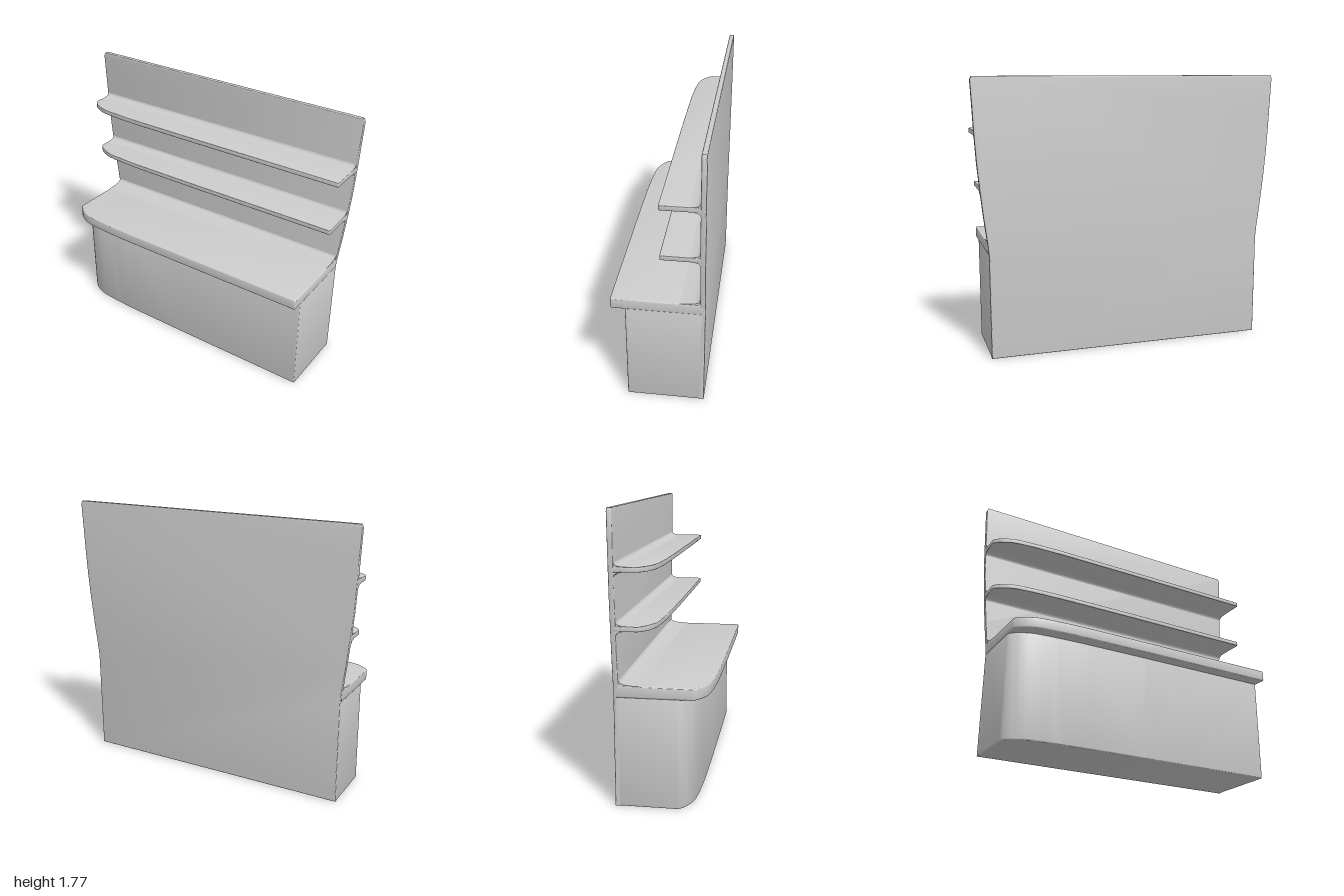
import * as THREE from 'three';
import { toCreasedNormals } from 'three/addons/utils/BufferGeometryUtils.js';

const material = new THREE.MeshStandardMaterial({ color: 0xcccccc });
const BACK = -0.287, WALL = -0.255; // back and front faces of the panel

function part(name, geometry) {
  const mesh = new THREE.Mesh(toCreasedNormals(geometry, 0.6), material);
  mesh.name = name;
  return mesh;
}

// Extrude a shape to exactly `depth`, with softly rounded rims
function rounded(shape, depth, r) {
  const geometry = new THREE.ExtrudeGeometry(shape, {
    depth: depth - 2 * r, bevelThickness: r, bevelSize: r, bevelOffset: -r,
    bevelSegments: 3, curveSegments: 6,
  });
  return geometry.translate(0, 0, r);
}

// Horizontal slab: swept front corner at -x, tight front corner at +x
function slab(name, halfWidth, front, y0, y1, r) {
  const w = halfWidth, back = -0.272, c = 0.012;
  const s = new THREE.Shape();
  s.moveTo(-w, -back);
  s.lineTo(-w, -(front - 0.115));
  s.bezierCurveTo(-w, -(front - 0.09), -w + 0.07, -(front - 0.035), -w + 0.15, -(front - 0.023));
  s.bezierCurveTo(-w + 0.24, -(front - 0.012), -w + 0.36, -(front - 0.005), -w + 0.5, -(front - 0.003));
  s.lineTo(0, -front);
  s.lineTo(w - c, -front);
  s.quadraticCurveTo(w, -front, w, -(front - c));
  s.lineTo(w, -back);
  s.closePath();
  const geometry = rounded(s, y1 - y0, r);
  geometry.rotateX(-Math.PI / 2).translate(0, y0, 0);
  return part(name, geometry);
}

// Concave fillet running along x where a slab meets the panel
function fillet(name, halfWidth, y, length, height) {
  const s = new THREE.Shape();
  const dip = -Math.sign(height) * 0.003;
  s.moveTo(-0.005, dip);
  s.lineTo(length, dip);
  s.lineTo(length, 0);
  s.bezierCurveTo(length * 0.4, height * 0.1, 0.004, height * 0.25, 0, height);
  s.lineTo(-0.005, height);
  s.closePath();
  const geometry = new THREE.ExtrudeGeometry(s, {
    depth: 2 * halfWidth, bevelEnabled: false, curveSegments: 8,
  });
  geometry.translate(0, 0, -halfWidth).rotateY(-Math.PI / 2).translate(0, y, WALL);
  return part(name, geometry);
}

// Upright panel, flaring outwards above the counter
function backPanel() {
  const side = [[0.915, 0], [0.915, 0.67], [0.921, 0.74], [0.941, 0.9], [0.961, 1.09],
    [0.975, 1.25], [0.985, 1.42], [0.992, 1.58], [1, 1.75], [0.99, 1.77]];
  const outline = [...side, ...side.map(([x, y]) => [-x, y]).reverse()];
  const shape = new THREE.Shape(outline.map(([x, y]) => new THREE.Vector2(x, y)));
  const geometry = rounded(shape, WALL - BACK, 0.005);
  geometry.translate(0, 0, BACK);
  return part('backPanel', geometry);
}

export function createModel() {
  const model = new THREE.Group();
  model.name = 'counterWithShelves';
  model.add(backPanel());

  // Base cabinet and overhanging counter
  model.add(slab('cabinet', 0.915, 0.2, 0, 0.7, 0.008));
  model.add(slab('counter', 0.92, 0.287, 0.675, 0.746, 0.008));
  model.add(fillet('counterFillet', 0.918, 0.746, 0.12, 0.03));

  // Two shelves, the upper one wider, each blended into the panel
  [['lowerShelf', 0.961, 1.076], ['upperShelf', 0.985, 1.416]].forEach(([name, w, y]) => {
    const shelf = new THREE.Group();
    shelf.name = name;
    shelf.add(slab(name + 'Board', w, -0.022, y, y + 0.03, 0.003));
    shelf.add(fillet(name + 'TopFillet', w - 0.002, y + 0.03, 0.06, 0.025));
    shelf.add(fillet(name + 'UnderFillet', w - 0.002, y, 0.06, -0.025));
    model.add(shelf);
  });
  return model;
}
